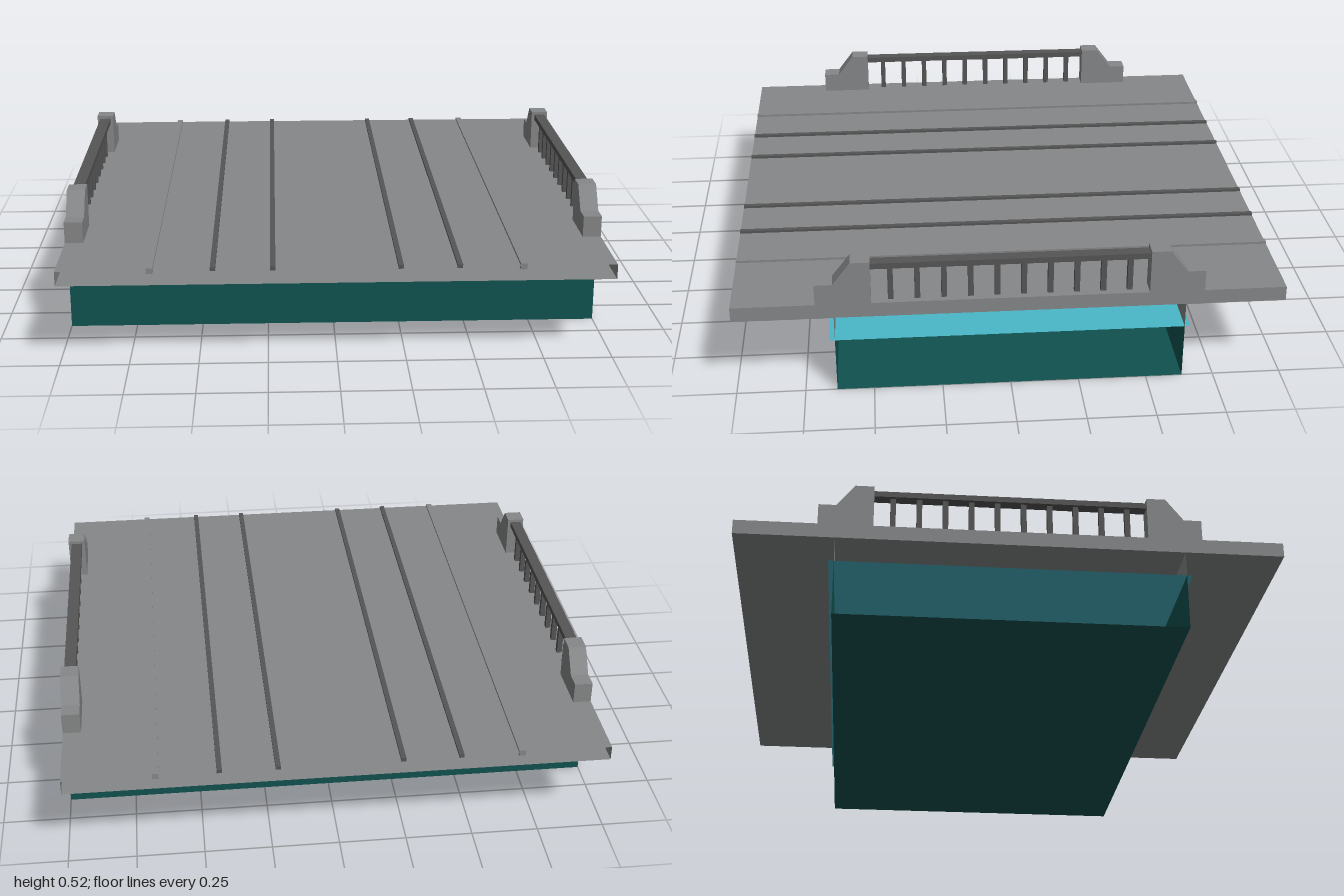
import * as THREE from 'three';

const material = (name, color, side = THREE.FrontSide) => {
  const m = new THREE.MeshStandardMaterial({ color, side });
  m.name = name;
  return m;
};

// Box that keeps only the listed faces: 0 +x, 1 -x, 2 +y, 3 -y, 4 +z, 5 -z
function openBox(w, h, d, faces) {
  const g = new THREE.BoxGeometry(w, h, d);
  const index = Array.from(g.index.array);
  g.setIndex(faces.flatMap(f => index.slice(f * 6, f * 6 + 6)));
  g.clearGroups();
  return g;
}

export function createModel() {
  const root = new THREE.Group();
  root.name = 'bridgeOverCanal';

  const stone = material('stone', 0x868788, THREE.DoubleSide);
  const iron = material('iron', 0x555555);
  const bed = material('canalBed', 0x10524f, THREE.DoubleSide);
  const water = material('water', 0x4ab8c8, THREE.DoubleSide);

  const add = (parent, name, geometry, mat, x = 0, y = 0, z = 0) => {
    const mesh = new THREE.Mesh(geometry, mat);
    mesh.name = name;
    mesh.position.set(x, y, z);
    parent.add(mesh);
    return mesh;
  };

  // Canal trough, open at both x ends
  add(root, 'canalBed', openBox(2, 0.21, 1.27, [3, 4, 5]), bed, 0, 0.105, 0);

  // Water surface, reaching just past the walls
  const surface = new THREE.PlaneGeometry(2, 1.31).rotateX(-Math.PI / 2);
  add(root, 'waterSurface', surface, water, 0, 0.21, 0);

  // Bank walls between water and deck
  add(root, 'bankWalls', openBox(2, 0.095, 1.27, [4, 5]), stone, 0, 0.2575, 0);

  // Road deck, open at both z ends
  add(root, 'deck', openBox(2, 0.055, 2, [0, 1, 2, 3]), stone, 0, 0.3325, 0);

  // Track rails and kerb strips along the road
  for (const x of [-0.443, -0.23, 0.225, 0.436])
    add(root, 'trackRail', new THREE.BoxGeometry(0.019, 0.014, 2), iron, x, 0.362, 0);
  for (const x of [-0.667, 0.664])
    add(root, 'kerbStrip', new THREE.BoxGeometry(0.024, 0.022, 2), stone, x, 0.358, 0);

  // Stepped end post: profile in z and y, extruded across x
  const profile = new THREE.Shape([
    [0.5, 0.358], [0.7, 0.358], [0.7, 0.44], [0.635, 0.44], [0.57, 0.525], [0.5, 0.525],
  ].map(([z, y]) => new THREE.Vector2(z, y)));
  const postGeometry = new THREE.ExtrudeGeometry(profile, { depth: 0.068, bevelEnabled: false });
  postGeometry.translate(0, 0, -0.034).rotateY(-Math.PI / 2);

  // One parapet on each side
  for (const side of [-1, 1]) {
    const parapet = new THREE.Group();
    parapet.name = side > 0 ? 'leftParapet' : 'rightParapet';
    parapet.position.x = side * 0.966;
    root.add(parapet);

    add(parapet, 'frontPost', postGeometry, stone);
    add(parapet, 'backPost', postGeometry, stone).rotation.y = Math.PI;
    add(parapet, 'handrail', new THREE.BoxGeometry(0.044, 0.022, 1), iron, 0, 0.502, 0);
    for (let i = 0; i < 10; i++)
      add(parapet, 'baluster', new THREE.BoxGeometry(0.02, 0.134, 0.02), iron,
        0, 0.425, 0.43 - i * 0.0956);
  }
  return root;
}
